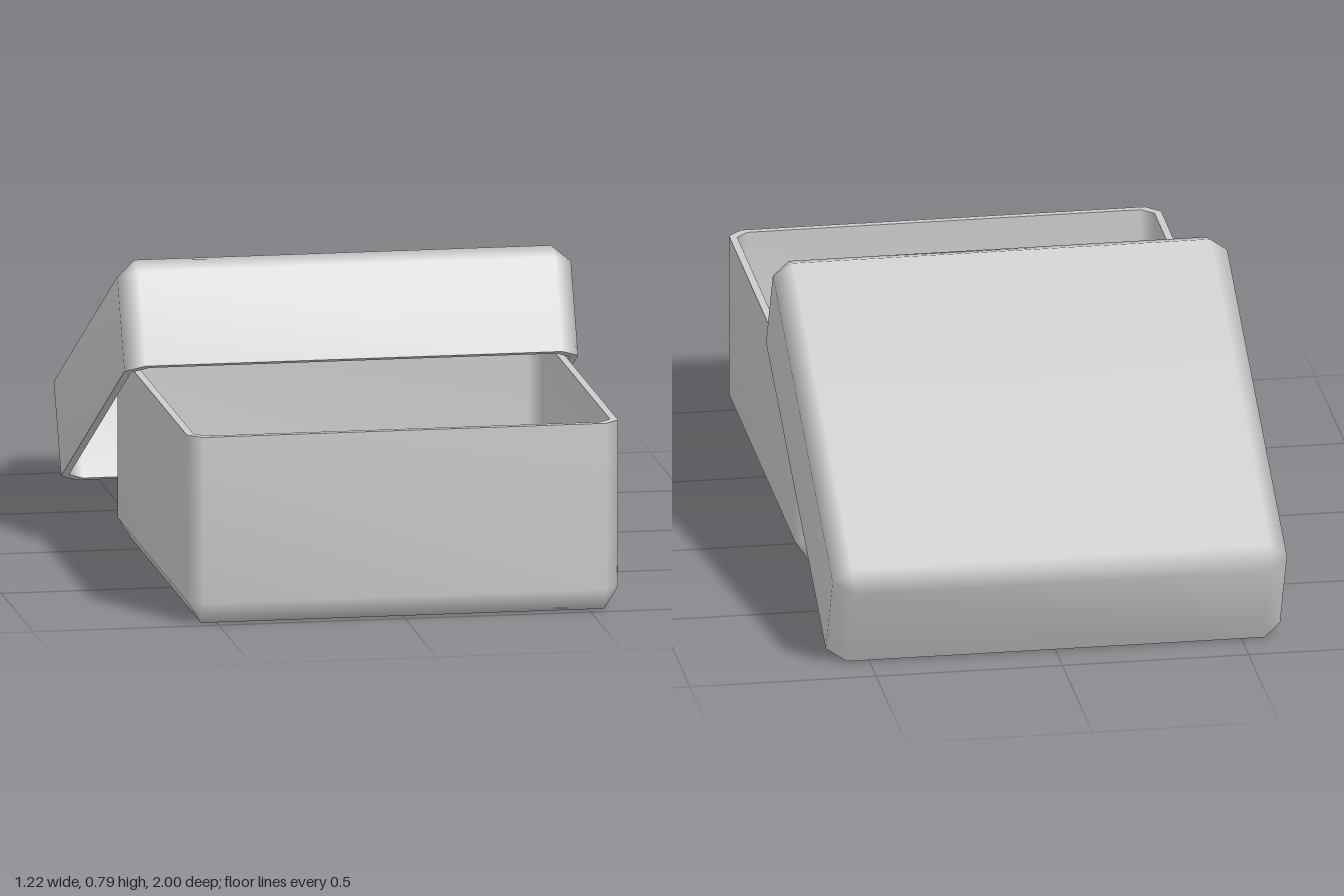
import * as THREE from 'three';
import { mergeVertices } from 'three/addons/utils/BufferGeometryUtils.js';

// Eight-point rectangle (half sizes w, d) with corners cut by c, at height y
function ring(w, d, c, y) {
  return [
    [w, c - d], [w, d - c], [w - c, d], [c - w, d],
    [-w, d - c], [-w, c - d], [c - w, -d], [w - c, -d],
  ].map(([x, z]) => new THREE.Vector3(x, y, z));
}

// Smooth skin through rings; optional caps close the first or last ring
function skin(rings, capFirst, capLast) {
  const pts = [];
  const tri = (a, b, c) => {
    if (a.distanceTo(b) > 1e-5 && b.distanceTo(c) > 1e-5 && c.distanceTo(a) > 1e-5) {
      for (const p of [a, b, c]) pts.push(p.x, p.y, p.z);
    }
  };
  for (let r = 0; r < rings.length - 1; r++) {
    const lo = rings[r], hi = rings[r + 1];
    for (let i = 0; i < 8; i++) {
      const j = (i + 1) % 8;
      tri(lo[i], hi[i], hi[j]);
      tri(lo[i], hi[j], lo[j]);
    }
  }
  if (capFirst) {
    const q = rings[0];
    tri(q[0], q[2], q[4]);
    tri(q[0], q[4], q[6]);
  }
  if (capLast) {
    const q = rings[rings.length - 1];
    tri(q[4], q[2], q[0]);
    tri(q[6], q[4], q[0]);
  }
  let geo = new THREE.BufferGeometry();
  geo.setAttribute('position', new THREE.Float32BufferAttribute(pts, 3));
  geo = mergeVertices(geo, 1e-5);
  geo.computeVertexNormals();
  return geo;
}

// Thin-walled open tray with bevelled corners and base edges, open side up
function tray(name, w, d, h, bevel, bevelY, t, material) {
  const group = new THREE.Group();
  group.name = name;
  const add = (part, geo) => {
    const mesh = new THREE.Mesh(geo, material);
    mesh.name = name + part;
    group.add(mesh);
  };
  const iw = w - t, id = d - t, ib = bevel * 0.85;
  add('Outside', skin([
    ring(w - bevel, d - bevel, 0, 0),
    ring(w, d, bevel, bevelY),
    ring(w, d, bevel, h),
  ], true, false));
  add('Rim', skin([ring(w, d, bevel, h), ring(iw, id, ib, h)], false, false));
  add('Inside', skin([
    ring(iw, id, ib, h),
    ring(iw, id, ib, bevelY + t * 0.5),
    ring(iw - ib, id - ib, 0, t),
  ], false, true));
  return group;
}

export function createModel() {
  const model = new THREE.Group();
  model.name = 'openBox';
  const material = new THREE.MeshStandardMaterial({ color: 0xcccccc });

  // Box standing on the ground
  const box = tray('box', 0.58, 0.585, 0.51, 0.038, 0.06, 0.02, material);
  box.position.z = 0.415;
  model.add(box);

  // Lid: the same kind of tray upside down, leaning on the back of the box
  const lid = tray('lid', 0.61, 0.606, 0.304, 0.05, 0.045, 0.02, material);
  lid.rotation.x = Math.PI - 0.457;
  lid.position.set(0, 0.543, -0.477);
  model.add(lid);

  return model;
}
